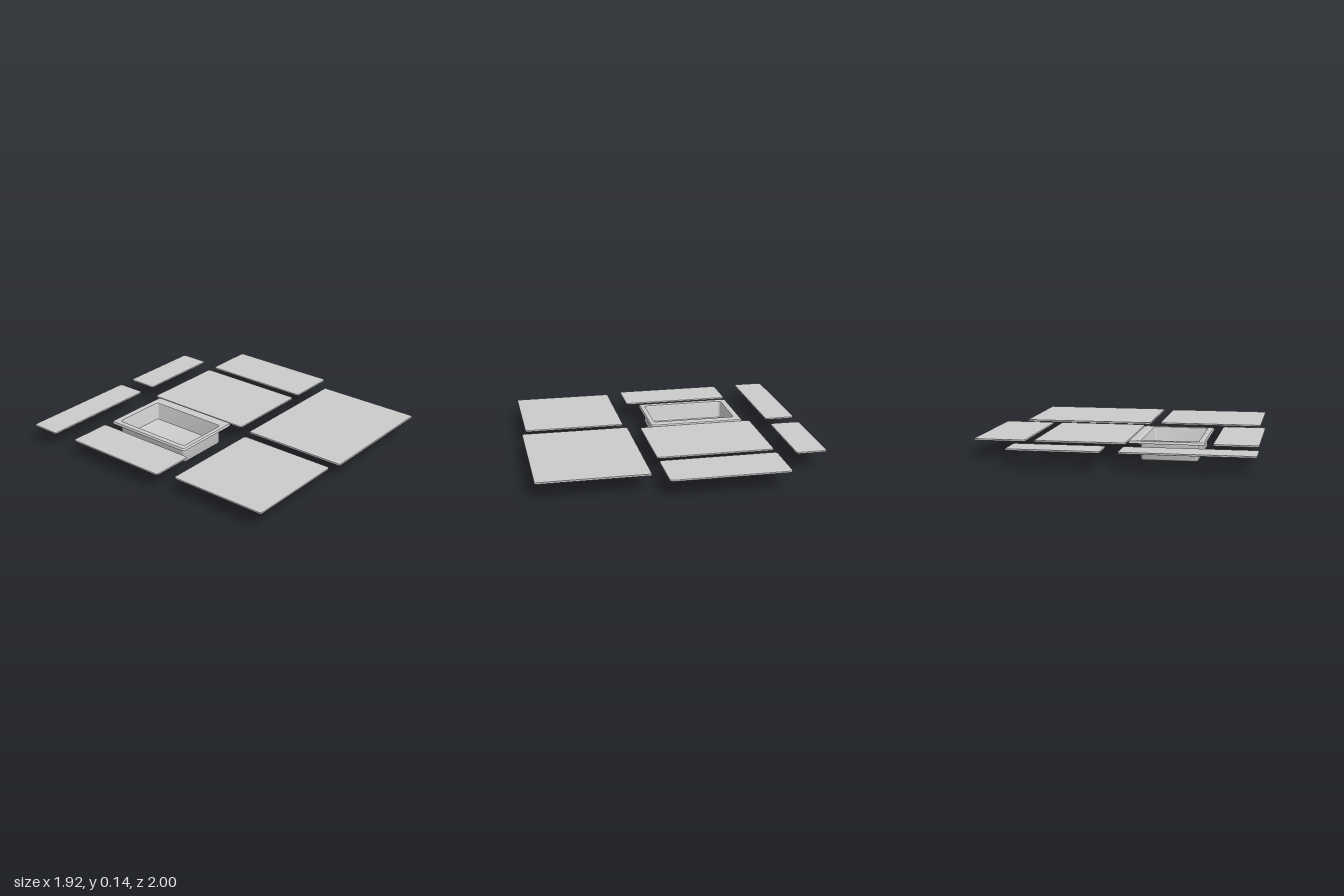
import * as THREE from 'three';
import { toCreasedNormals } from 'three/addons/utils/BufferGeometryUtils.js';

const material = new THREE.MeshStandardMaterial({ color: 0xcccccc });

// Flat slab with rounded corners and a slightly eased edge.
function slab(name, x0, x1, z0, z1, r) {
  const bevel = r > 0 ? 0.003 : 0;
  const w = (x1 - x0) / 2 - bevel, d = (z1 - z0) / 2 - bevel;
  const shape = new THREE.Shape();
  if (r > 0) {
    shape.absarc(w - r, d - r, r, 0, Math.PI / 2);
    shape.absarc(r - w, d - r, r, Math.PI / 2, Math.PI);
    shape.absarc(r - w, r - d, r, Math.PI, Math.PI * 1.5);
    shape.absarc(w - r, r - d, r, Math.PI * 1.5, Math.PI * 2);
  } else {
    shape.moveTo(-w, -d).lineTo(w, -d).lineTo(w, d).lineTo(-w, d);
  }
  shape.closePath();
  const bottom = 0.119, top = 0.131;
  const geometry = new THREE.ExtrudeGeometry(shape, {
    depth: top - bottom - 2 * bevel, curveSegments: 5,
    bevelEnabled: bevel > 0, bevelThickness: bevel, bevelSize: bevel, bevelSegments: 2,
  });
  geometry.rotateX(-Math.PI / 2);
  geometry.translate((x0 + x1) / 2, bottom + bevel, (z0 + z1) / 2);
  const mesh = new THREE.Mesh(geometry, material);
  mesh.name = name;
  return mesh;
}

// Skin a stack of rounded rectangles: each ring is [bounds, inset, cornerRadius, y].
function loft(rings) {
  const steps = 6, n = 4 * (steps + 1), pos = [], index = [];
  for (const [[x0, x1, z0, z1], inset, r, y] of rings) {
    const corners = [[x1, z1, -1, -1], [x0, z1, 1, -1], [x0, z0, 1, 1], [x1, z0, -1, 1]];
    corners.forEach(([x, z, sx, sz], c) => {
      for (let k = 0; k <= steps; k++) {
        const a = (c + k / steps) * Math.PI / 2;
        pos.push(x + sx * (inset + r) + r * Math.cos(a), y, z + sz * (inset + r) + r * Math.sin(a));
      }
    });
  }
  for (let i = 0; i < rings.length - 1; i++) {
    for (let j = 0; j < n; j++) {
      const a = i * n + j, b = i * n + (j + 1) % n;
      index.push(a, a + n, b + n, a, b + n, b);
    }
  }
  const geometry = new THREE.BufferGeometry();
  geometry.setAttribute('position', new THREE.Float32BufferAttribute(pos, 3));
  geometry.setIndex(index);
  return toCreasedNormals(geometry, 0.6);
}

// Hollow tray with a thin wall, wide flange and turned-down lip.
function tray() {
  const box = [-0.552, -0.164, -0.562, 0.037];
  const rim = [-0.595, -0.087, -0.607, 0.073];
  const cx = (box[0] + box[1]) / 2, cz = (box[2] + box[3]) / 2;
  const centre = [cx, cx, cz, cz];
  const geometry = loft([
    [centre, 0, 0, 0],
    [box, 0.015, 0.012, 0],
    [box, 0.005, 0.02, 0.004],
    [box, 0, 0.022, 0.014],
    [box, 0, 0.022, 0.126],
    [box, -0.006, 0.024, 0.131],
    [rim, 0.013, 0.014, 0.131],
    [rim, 0.005, 0.018, 0.127],
    [rim, 0.003, 0.02, 0.12],
    [rim, 0, 0.022, 0.12],
    [rim, 0.001, 0.022, 0.13],
    [rim, 0.006, 0.018, 0.136],
    [rim, 0.014, 0.014, 0.138],
    [box, -0.006, 0.024, 0.138],
    [box, 0.002, 0.02, 0.135],
    [box, 0.006, 0.017, 0.127],
    [box, 0.006, 0.017, 0.02],
    [box, 0.01, 0.015, 0.01],
    [box, 0.02, 0.01, 0.006],
    [centre, 0, 0, 0.006],
  ]);
  const mesh = new THREE.Mesh(geometry, material);
  mesh.name = 'tray';
  return mesh;
}

export function createModel() {
  const model = new THREE.Group();
  model.name = 'panelsAndTray';
  const panels = [
    ['backRightPanel', -0.963, -0.09, -1, -0.786, 0.015],
    ['backLeftPanel', 0.025, 0.641, -1, -0.786, 0.015],
    ['middleRightPanel', -0.953, -0.651, -0.614, 0.156, 0.016],
    ['middlePanel', -0.079, 0.541, -0.657, 0.156, 0.018],
    ['middleLeftPanel', 0.601, 0.958, -0.657, 0.156, 0.018],
    ['frontRightPanel', -0.911, -0.175, 0.265, 0.97, 0.015],
    ['frontLeftPanel', -0.102, 0.826, 0.247, 1, 0],
  ];
  for (const p of panels) model.add(slab(...p));
  model.add(tray());
  return model;
}
